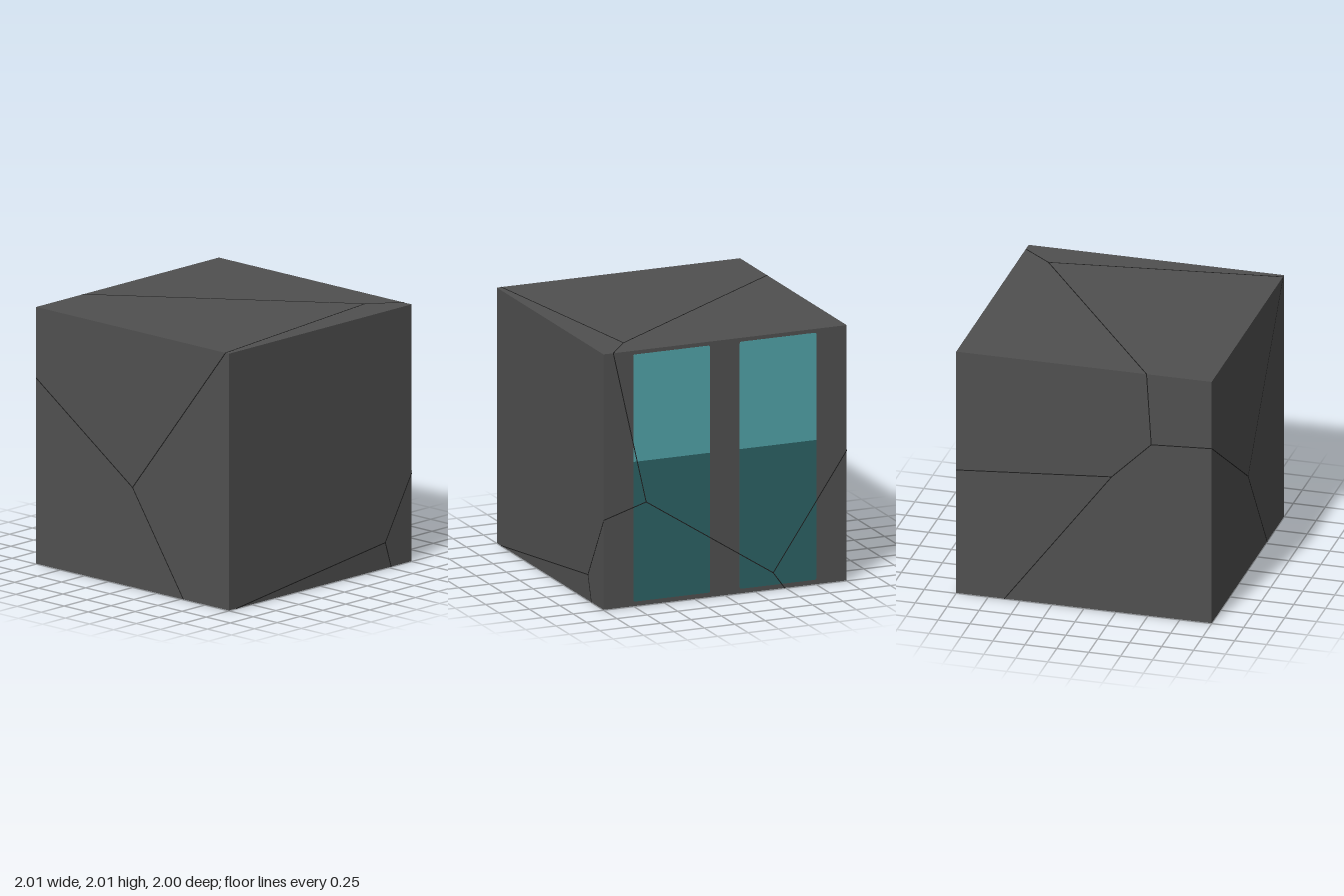
import * as THREE from 'three';

export function createModel() {
  const group = new THREE.Group();
  group.name = 'crackedBlock';

  const mat = (name, color) => {
    const m = new THREE.MeshStandardMaterial({ color });
    m.name = name;
    return m;
  };
  const stone = mat('darkGrey', 0x505050);
  const lightTeal = mat('lightTeal', 0x51a3a8);
  const darkTeal = mat('darkTeal', 0x2c6265);
  const crackMat = mat('crackBlack', 0x1e1e1e);

  // Solid block
  const block = new THREE.Mesh(new THREE.BoxGeometry(2, 2, 2), stone);
  block.name = 'block';
  block.position.y = 1;
  group.add(block);

  // One group per face; its local plane is z = 1, with x and y from -1 to 1
  const face = (name, rx, ry) => {
    const g = new THREE.Group();
    g.name = name;
    g.position.y = 1;
    g.rotation.set(rx, ry, 0);
    group.add(g);
    return g;
  };

  // Thin crack strips, each from (a, b) to (c, d) on a face
  const addCracks = (parent, lines) => {
    for (const [a, b, c, d] of lines) {
      const len = Math.hypot(c - a, d - b);
      const strip = new THREE.Mesh(new THREE.BoxGeometry(len, 0.007, 0.003), crackMat);
      strip.name = 'crack';
      strip.position.set((a + c) / 2, (b + d) / 2, 1.0005);
      strip.rotation.z = Math.atan2(d - b, c - a);
      parent.add(strip);
    }
  };

  const Q = Math.PI / 2;
  const front = face('frontFace', 0, 0);
  addCracks(front, [
    [-0.92, -1, 0.71, -0.8],
    [0.71, -0.8, 1, -0.31],
    [0.71, -0.8, 0.775, -1],
  ]);

  const side = face('panelFace', 0, Q);
  addCracks(side, [
    [-0.92, 1, -0.65, -0.195],
    [-1, -0.3, -0.65, -0.195],
    [-0.65, -0.195, 0.395, -0.87],
    [0.395, -0.87, 1, 0.02],
    [0.395, -0.87, 0.49, -1],
  ]);

  const back = face('backFace', 0, Math.PI);
  addCracks(back, [
    [0.49, 1, 0.527, 0.42],
    [0.527, 0.42, 1, 0.447],
    [0.527, 0.42, 0.217, 0.115],
    [0.217, 0.115, -1, 0.02],
    [0.217, 0.115, -0.623, -1],
  ]);

  const plain = face('plainSideFace', 0, -Q);
  addCracks(plain, [
    [-1, 0.447, 0, -0.224],
    [0, -0.224, 0.965, 1],
    [0, -0.224, 0.528, -1],
  ]);

  const top = face('topFace', -Q, 0);
  addCracks(top, [
    [-0.49, 1, 0.77, -0.735],
    [-1, -0.965, 0.77, -0.735],
    [0.77, -0.735, 1, -0.92],
  ]);

  const bottom = face('bottomFace', Q, 0);
  addCracks(bottom, [
    [1, -0.49, 0.873, -0.41],
    [0.873, -0.41, 0.623, -1],
    [0.873, -0.41, 0.62, 0.096],
    [0.62, 0.096, -1, 0.528],
    [0.62, 0.096, 0.775, 1],
  ]);

  // Panel outline with rounded top or bottom outer corners
  const panelShape = (w, h, roundTop) => {
    const r = 0.015, s = new THREE.Shape(), k = roundTop ? 1 : -1;
    s.moveTo(-w / 2, 0);
    s.lineTo(w / 2, 0);
    s.lineTo(w / 2, k * (h - r));
    s.quadraticCurveTo(w / 2, k * h, w / 2 - r, k * h);
    s.lineTo(-w / 2 + r, k * h);
    s.quadraticCurveTo(-w / 2, k * h, -w / 2, k * (h - r));
    s.closePath();
    return s;
  };

  // Two tall panels, each a light upper and a dark lower plate
  const splitY = 0.13;
  for (const u of [-0.44, 0.435]) {
    const parts = [['upperPanel', 0.84, true, lightTeal], ['lowerPanel', 1.095, false, darkTeal]];
    for (const [name, h, isTop, material] of parts) {
      const geo = new THREE.ExtrudeGeometry(panelShape(0.63, h, isTop), { depth: 0.002, bevelEnabled: false });
      const plate = new THREE.Mesh(geo, material);
      plate.name = name;
      plate.position.set(u, splitY, 0.9992);
      side.add(plate);
    }
  }

  return group;
}
